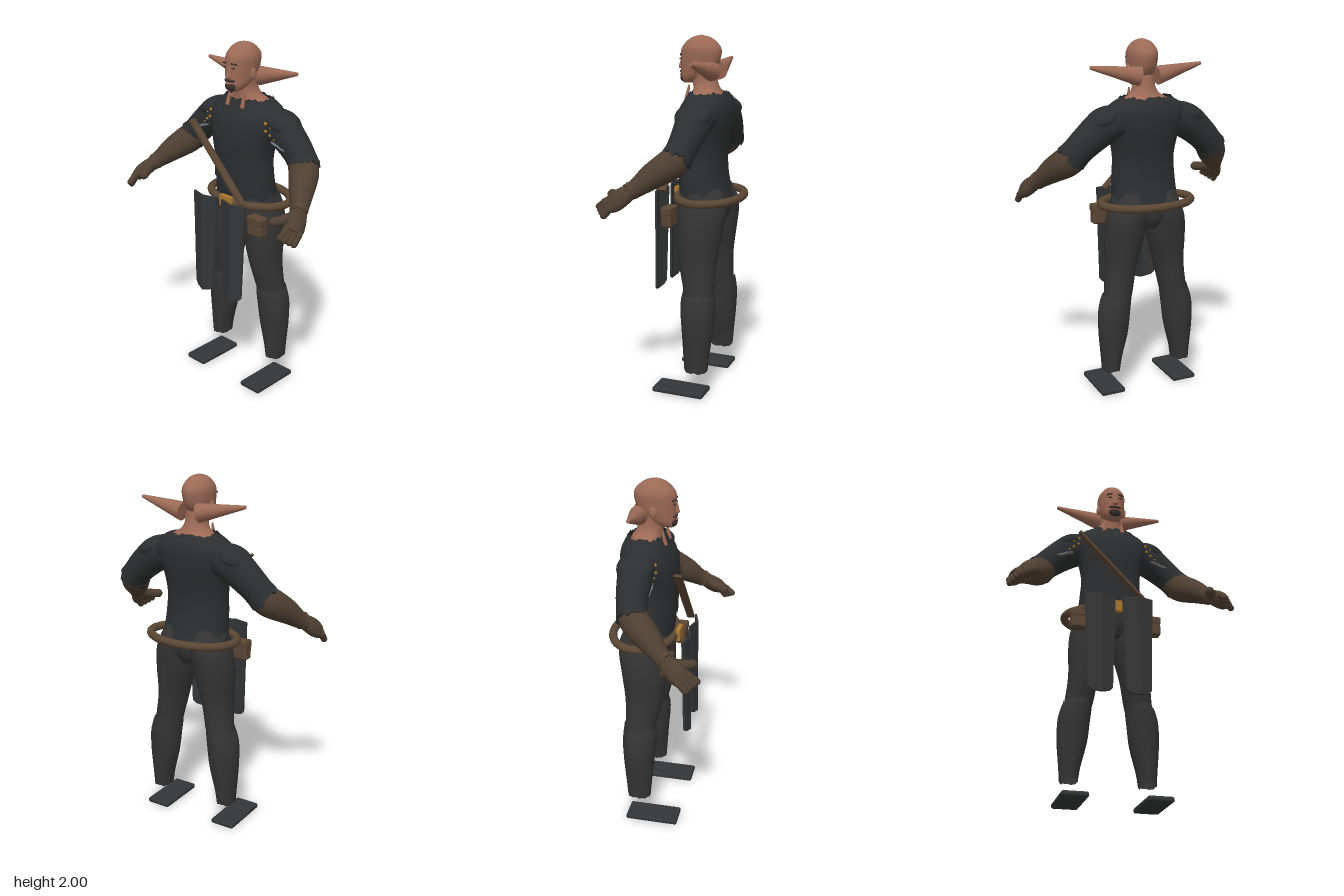
import * as THREE from 'three';
import { RoundedBoxGeometry } from 'three/addons/geometries/RoundedBoxGeometry.js';

const mat = (name, color, side = THREE.FrontSide) =>
  Object.assign(new THREE.MeshStandardMaterial({ color, side }), { name });
const V = (x, y, z) => new THREE.Vector3(x, y, z);

// Smooth skin through rings [x, y, z, radiusU, radiusV]; flat keeps every ring level.
function loft(rings, { seg = 32, sub = 4, flat = false, pow = 1, caps = true, jag = [0, 0], arc = null } = {}) {
  const line = new THREE.CatmullRomCurve3(rings.map(r => V(r[0], r[1], r[2])), false, 'catmullrom', 0.5);
  const size = new THREE.CatmullRomCurve3(rings.map(r => V(r[3], r[4], 0)), false, 'catmullrom', 0.5);
  const n = (rings.length - 1) * sub, pos = [], idx = [];
  const [from, to] = arc || [0, Math.PI * 2];
  const curl = v => Math.sign(v) * Math.abs(v) ** pow;
  const cols = seg + 1;
  const frames = [];
  for (let i = 0; i <= n; i++) {
    const c = line.getPoint(i / n), s = size.getPoint(i / n);
    const t = flat ? V(0, 1, 0) : line.getTangent(i / n);
    const u = t.clone().cross(V(0, 0, 1)).normalize(), v = u.clone().cross(t);
    const rough = i === 0 ? jag[0] : i === n ? jag[1] : 0;
    frames.push(c);
    for (let j = 0; j < cols; j++) {
      const a = from + (to - from) * j / seg;
      const k = rough * Math.sin((j % seg) * 2.4 + Math.sin((j % seg) * 1.7) * 2);
      const p = c.clone().addScaledVector(u, curl(Math.cos(a)) * s.x)
        .addScaledVector(v, curl(Math.sin(a)) * s.y).addScaledVector(t, k);
      pos.push(p.x, p.y, p.z);
    }
  }
  for (let i = 0; i < n; i++) for (let j = 0; j < seg; j++) {
    const a = i * cols + j, b = a + 1, c = a + cols, d = c + 1;
    idx.push(a, c, b, b, c, d);
  }
  if (caps && !arc) for (const end of [0, n]) {
    const base = pos.length / 3;
    pos.push(...frames[end].toArray());
    for (let j = 0; j < cols; j++) pos.push(...pos.slice((end * cols + j) * 3, (end * cols + j) * 3 + 3));
    for (let j = 1; j <= seg; j++)
      end ? idx.push(base, base + j + 1, base + j) : idx.push(base, base + j, base + j + 1);
  }
  const g = new THREE.BufferGeometry();
  g.setAttribute('position', new THREE.Float32BufferAttribute(pos, 3));
  g.setIndex(idx);
  g.computeVertexNormals();
  return g;
}

export function createModel() {
  const root = new THREE.Group();
  root.name = 'figure';
  const D = THREE.DoubleSide;
  const skin = mat('skin', 0x9c6a56), shirt = mat('shirt charcoal', 0x2d2e2f, D),
    pants = mat('trouser grey', 0x343434, D), cloth = mat('panel grey', 0x343536, D),
    glove = mat('glove brown', 0x4e3f31, D), leather = mat('leather brown', 0x5a4634),
    gold = mat('brass', 0xa8782f), steel = mat('steel', 0x6c7278), hair = mat('hair dark', 0x3a302c);

  const add = (name, geo, m, p = [0, 0, 0], parent = root) => {
    const mesh = new THREE.Mesh(geo, m);
    mesh.name = name;
    mesh.position.set(...p);
    parent.add(mesh);
    return mesh;
  };
  const ball = (name, m, p, s) => {
    const b = add(name, new THREE.SphereGeometry(1, 24, 16), m, p);
    b.scale.set(...s);
    return b;
  };
  // Round rod between two points
  const rod = (name, a, b, r0, r1, m) => {
    const d = b.clone().sub(a);
    const mesh = add(name, new THREE.CylinderGeometry(r1, r0, d.length(), 20), m, a.clone().add(b).multiplyScalar(0.5).toArray());
    mesh.quaternion.setFromUnitVectors(V(0, 1, 0), d.normalize());
    return mesh;
  };
  const capsule = (name, a, b, r, m) => {
    const d = b.clone().sub(a);
    const mesh = add(name, new THREE.CapsuleGeometry(r, d.length(), 6, 12), m, a.clone().add(b).multiplyScalar(0.5).toArray());
    mesh.quaternion.setFromUnitVectors(V(0, 1, 0), d.normalize());
  };
  // Level rings given as [y, halfWidth, front, back]
  const level = (rows, opt, grow = 0) => loft(
    rows.map(([y, w, f, b]) => [0, y, (f + b) / 2, w + grow, (f - b) / 2 + grow]), { flat: true, ...opt });

  // Head, neck and face
  add('head', level([[1.742, 0.022, 0.045, -0.01], [1.755, 0.042, 0.055, -0.05], [1.785, 0.062, 0.06, -0.1],
    [1.83, 0.073, 0.06, -0.145], [1.88, 0.079, 0.061, -0.166], [1.93, 0.08, 0.055, -0.168],
    [1.97, 0.06, 0.022, -0.135], [1.99, 0.036, -0.012, -0.1], [2.0, 0.004, -0.05, -0.058]], {}), skin);
  add('neck', level([[1.63, 0.16, 0.0, -0.19], [1.68, 0.135, -0.015, -0.185], [1.71, 0.085, -0.015, -0.165],
    [1.75, 0.062, -0.01, -0.15], [1.81, 0.06, 0.0, -0.14]], {}), skin);
  const nose = rod('nose', V(0, 1.825, 0.058), V(0, 1.88, 0.056), 0.017, 0.007, skin);
  nose.scale.z = 1.1;
  ball('noseTip', skin, [0, 1.829, 0.062], [0.017, 0.012, 0.014]);
  ball('beard', hair, [0, 1.773, 0.044], [0.036, 0.028, 0.021]);
  ball('moustache', hair, [0, 1.805, 0.05], [0.037, 0.01, 0.016]);
  ball('lips', skin, [0, 1.789, 0.06], [0.018, 0.005, 0.008]);

  for (const s of [1, -1]) {
    const P = (x, y, z) => V(x * s, y, z);
    const brow = add('eyebrow', new THREE.BoxGeometry(0.034, 0.007, 0.008), hair, [s * 0.034, 1.896, 0.053]);
    brow.rotation.set(0, s * 0.35, s * -0.12);
    ball('eye', hair, [s * 0.03, 1.873, 0.053], [0.012, 0.004, 0.006]);
    ball('innerEar', skin, [s * 0.08, 1.835, -0.05], [0.011, 0.032, 0.02]);
    rod('longEar', P(0.05, 1.808, -0.135), P(0.325, 1.862, -0.12), 0.052, 0.009, skin);
    rod('neckTendril', P(0.055, 1.655, 0.01), P(0.052, 1.735, -0.005), 0.013, 0.005, skin);

    // Sleeve, shoulder pad and its fittings
    add('sleeve', loft([[0.17, 1.575, -0.11, 0.09, 0.095], [0.25, 1.545, -0.105, 0.098, 0.095], [0.34, 1.475, -0.1, 0.088, 0.085],
      [0.395, 1.42, -0.09, 0.083, 0.08], [0.43, 1.38, -0.078, 0.088, 0.085]].map(r => [r[0] * s, ...r.slice(1)]),
      { jag: [0, 0.014] }), shirt);
    const pad = ball('shoulderPad', shirt, [s * 0.25, 1.59, -0.105], [0.105, 0.057, 0.1]);
    pad.rotation.z = s * -0.42;
    for (let i = 0; i < 3; i++) {
      ball('stud', gold, [s * (0.205 + i * 0.032), 1.595 - i * 0.018, -0.01 - i * 0.008], [0.009, 0.009, 0.009]);
      ball('stud', gold, [s * (0.21 + i * 0.026), 1.555 - i * 0.02, -0.006 - i * 0.006], [0.008, 0.008, 0.008]);
    }
    for (let i = 0; i < 2; i++) {
      const blade = ball('sleeveSliver', steel, [s * (0.27 + i * 0.04), 1.49 - i * 0.015, -0.02 - i * 0.003], [0.036, 0.008, 0.012]);
      blade.rotation.z = s * -0.25;
    }

    // Gauntlet and hand
    add('gauntlet', loft([[0.395, 1.405, -0.09, 0.075, 0.075], [0.44, 1.362, -0.055, 0.083, 0.08], [0.495, 1.305, 0.025, 0.07, 0.068],
      [0.54, 1.25, 0.09, 0.05, 0.05], [0.562, 1.226, 0.13, 0.044, 0.046]].map(r => [r[0] * s, ...r.slice(1)]),
      { jag: [0.01, 0.01] }), glove);
    add('palm', loft([[0.55, 1.238, 0.11, 0.034, 0.036], [0.572, 1.212, 0.145, 0.04, 0.05], [0.595, 1.178, 0.19, 0.038, 0.055],
      [0.61, 1.155, 0.222, 0.025, 0.044]].map(r => [r[0] * s, ...r.slice(1)]), { seg: 20 }), glove);
    const wrist = add('wristStrap', new THREE.TorusGeometry(0.042, 0.008, 8, 24), leather, [s * 0.552, 1.236, 0.113]);
    wrist.quaternion.setFromUnitVectors(V(0, 0, 1), P(0.42, -0.5, 0.76).normalize());
    for (let i = 0; i < 4; i++) {
      const k = i / 3, mid = P(0.628 - k * 0.045, 1.145 + k * 0.025, 0.205 + k * 0.05);
      capsule('fingerBase', P(0.605 - k * 0.03, 1.175 + k * 0.025, 0.165 + k * 0.035), mid, 0.02, glove);
      capsule('fingerTip', mid, P(0.63 - k * 0.05, 1.108 + k * 0.035, 0.24 + k * 0.05), 0.018, glove);
    }
    capsule('thumbBase', P(0.555, 1.215, 0.15), P(0.525, 1.2, 0.215), 0.027, glove);
    capsule('thumbTip', P(0.525, 1.2, 0.215), P(0.503, 1.196, 0.25), 0.026, glove);

    // Trouser leg, lower leg with an open cuff, sole
    const leg = rows => rows.map(([y, i, o, f, b]) => [s * (i + o) / 2, y, (f + b) / 2, (o - i) / 2, (f - b) / 2]);
    add('thigh', loft(leg([[0.5, 0.115, 0.265, -0.03, -0.195], [0.6, 0.09, 0.25, -0.02, -0.195], [0.75, 0.062, 0.235, 0.015, -0.2],
      [0.9, 0.022, 0.238, 0.032, -0.222], [1.02, 0.004, 0.228, 0.034, -0.24], [1.1, 0.0, 0.2, 0.035, -0.238],
      [1.18, 0.02, 0.17, 0.03, -0.2]]), { flat: true }), pants);
    add('lowerLeg', loft(leg([[0.14, 0.17, 0.27, -0.042, -0.178], [0.22, 0.157, 0.276, -0.036, -0.185], [0.36, 0.122, 0.288, -0.025, -0.2],
      [0.48, 0.108, 0.287, -0.014, -0.208], [0.55, 0.1, 0.272, -0.012, -0.206], [0.59, 0.097, 0.256, -0.018, -0.202]]),
      { flat: true, caps: false, jag: [0.005, 0.012] }), pants);
    add('sole', new RoundedBoxGeometry(0.145, 0.03, 0.305, 3, 0.012), cloth, [s * 0.227, 0.016, -0.022]);

    // Hip pouch with flap
    add('pouch', new RoundedBoxGeometry(0.1, 0.11, 0.06, 3, 0.012), leather, [s * 0.21, 1.025, 0.053]);
    add('pouchFlap', new RoundedBoxGeometry(0.104, 0.045, 0.064, 3, 0.01), leather, [s * 0.21, 1.06, 0.054]);

    // Hanging cloth panel, folded along its middle
    const shape = new THREE.Shape([[-0.088, 1.155], [-0.068, 0.59], [-0.05, 0.572], [0, 0.562],
      [0.05, 0.572], [0.068, 0.59], [0.088, 1.155]].map(p => new THREE.Vector2(...p)));
    for (const side of [-1, 1]) {
      const half = new THREE.Shape([[0, 1.155], [side * 0.088, 1.155], [side * 0.07, 0.595],
        [side * 0.05, 0.575], [0, 0.562]].map(p => new THREE.Vector2(...p)));
      const g = new THREE.ExtrudeGeometry(half, { depth: 0.012, bevelEnabled: false });
      const q = g.attributes.position;
      for (let i = 0; i < q.count; i++)
        q.setZ(i, q.getZ(i) + 0.13 + 0.026 * (1 - Math.abs(q.getX(i)) / 0.088) + (1.155 - q.getY(i)) * 0.012);
      g.computeVertexNormals();
      add('clothPanel', g, cloth, [s * 0.108, 0, 0]);
    }
  }

  // Torso and layered shirt
  add('torso', level([[1.1, 0.19, 0.04, -0.235], [1.17, 0.187, 0.052, -0.215], [1.26, 0.18, 0.055, -0.2], [1.36, 0.174, 0.06, -0.2],
    [1.46, 0.19, 0.066, -0.215], [1.54, 0.215, 0.062, -0.228], [1.62, 0.225, 0.03, -0.228], [1.67, 0.18, 0.0, -0.21],
    [1.695, 0.125, -0.012, -0.19]], { pow: 0.88, caps: false, jag: [0, 0.008], seg: 48 }), shirt);
  add('shoulderYoke', level([[1.545, 0.215, 0.058, -0.228], [1.6, 0.225, 0.04, -0.23], [1.65, 0.205, 0.012, -0.218],
    [1.69, 0.14, -0.008, -0.195]], { pow: 0.88, caps: false, jag: [0.009, 0.009], seg: 48 }, 0.007), shirt);
  add('chestPlate', level([[1.24, 0.18, 0.055, -0.2], [1.36, 0.174, 0.06, -0.2], [1.46, 0.19, 0.066, -0.215],
    [1.55, 0.21, 0.058, -0.228]], { pow: 0.88, jag: [0.008, 0.006], arc: [0.7, Math.PI - 0.7] }, 0.009), shirt);
  add('pelvis', level([[0.97, 0.06, 0.01, -0.19], [1.03, 0.15, 0.03, -0.225], [1.1, 0.196, 0.038, -0.232],
    [1.16, 0.188, 0.045, -0.215]], {}), pants);

  // Belt hoop, buckle and diagonal strap
  const hoop = new THREE.CatmullRomCurve3(Array.from({ length: 24 }, (_, i) => {
    const a = i / 24 * Math.PI * 2;
    return V(0.262 * Math.cos(a), 1.117, -0.117 + 0.176 * Math.sin(a));
  }), true);
  add('beltHoop', new THREE.TubeGeometry(hoop, 72, 0.023, 12, true), leather);
  add('buckle', new RoundedBoxGeometry(0.09, 0.07, 0.026, 2, 0.005), gold, [0, 1.122, 0.079]);
  const strap = add('chestStrap', new THREE.BoxGeometry(0.014, 0.56, 0.042), leather, [-0.035, 1.355, 0.115]);
  strap.rotation.z = Math.atan2(0.385, 0.4);
  return root;
}
